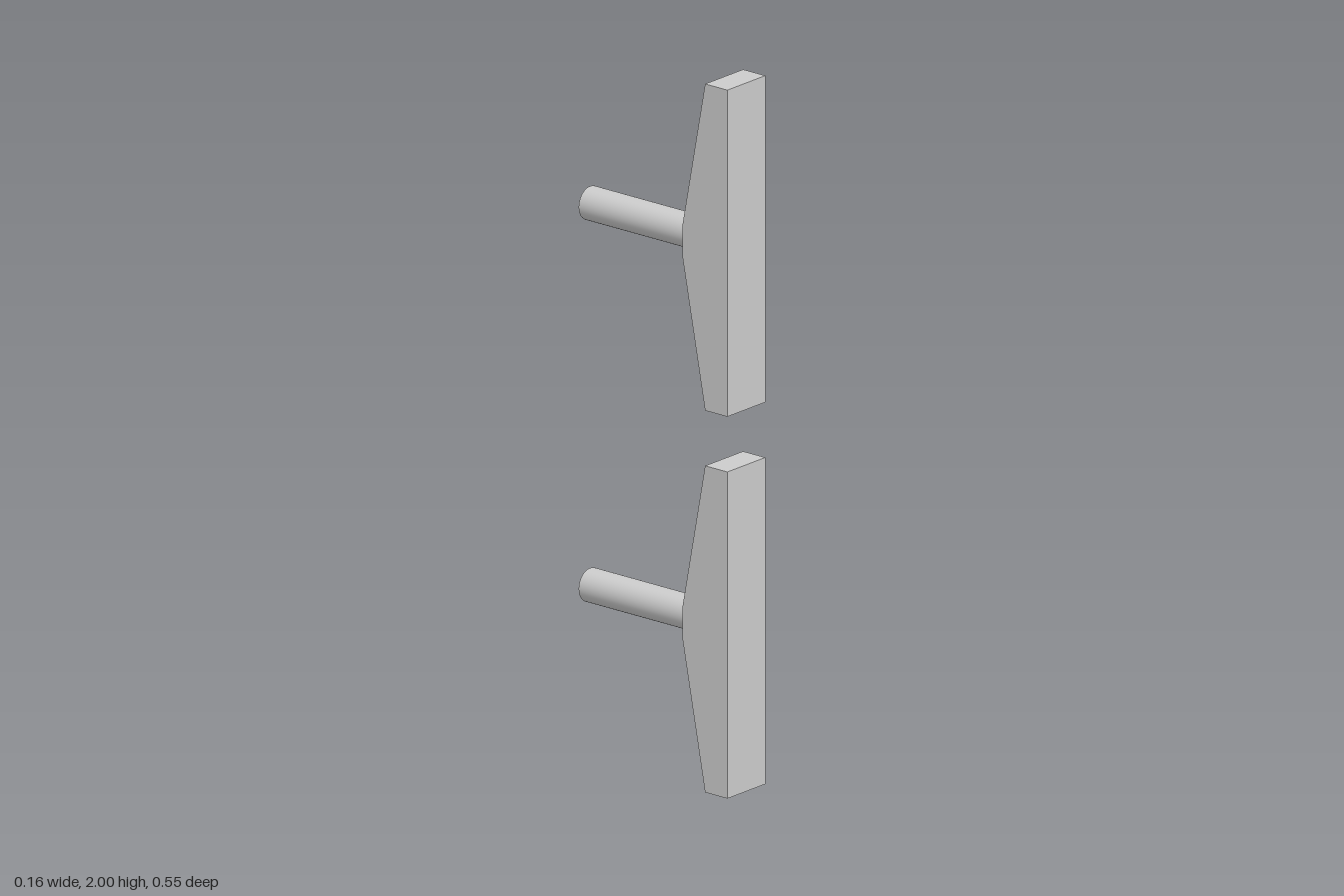
import * as THREE from 'three';

const HALF_HEIGHT = 0.461, HALF_WIDTH = 0.078;
const FRONT = 0.274, SHOULDER = 0.196, BACK = 0.117;
const ROD_RADIUS = 0.047, ROD_END = -0.274;

export function createModel() {
  const model = new THREE.Group();
  model.name = 'pairOfHandles';
  const material = new THREE.MeshStandardMaterial({ color: 0xcccccc });

  // Grip: side profile (z, y) with a tapered back and a narrow flat behind the rod
  const profile = new THREE.Shape([
    [FRONT, -HALF_HEIGHT], [FRONT, HALF_HEIGHT], [SHOULDER, HALF_HEIGHT],
    [BACK, ROD_RADIUS], [BACK, -ROD_RADIUS], [SHOULDER, -HALF_HEIGHT],
  ].map(([z, y]) => new THREE.Vector2(z, y)));
  const gripGeometry = new THREE.ExtrudeGeometry(profile, { depth: 2 * HALF_WIDTH, bevelEnabled: false });
  gripGeometry.translate(0, 0, -HALF_WIDTH).rotateY(-Math.PI / 2);

  // Rod: round bar running straight back from the grip
  const rodGeometry = new THREE.CylinderGeometry(ROD_RADIUS, ROD_RADIUS, BACK - ROD_END, 48);
  rodGeometry.rotateX(Math.PI / 2).translate(0, 0, (BACK + ROD_END) / 2);

  // Two identical handles, one above the other
  for (const [name, y] of [['lowerHandle', HALF_HEIGHT], ['upperHandle', 2 - HALF_HEIGHT]]) {
    const handle = new THREE.Group();
    handle.name = name;
    handle.position.y = y;
    const grip = new THREE.Mesh(gripGeometry, material);
    grip.name = 'grip';
    const rod = new THREE.Mesh(rodGeometry, material);
    rod.name = 'rod';
    handle.add(grip, rod);
    model.add(handle);
  }
  return model;
}
